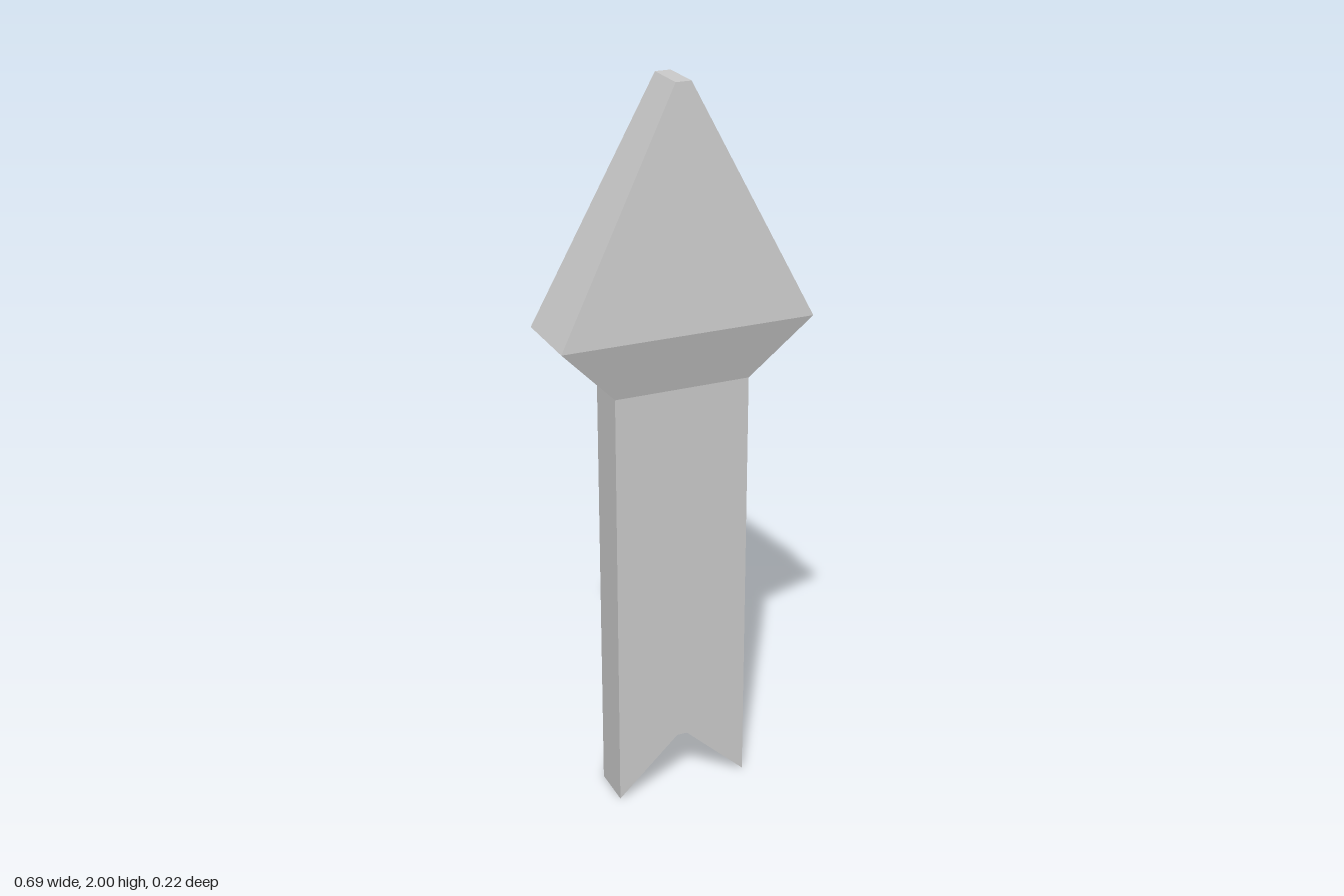
import * as THREE from 'three';

const HALF_W = 0.188;   // shaft half width
const HALF_D = 0.061;   // shaft half depth
const SHAFT_TOP = 1.204;

// Closed, flat-faced loft through rectangles given as [y, halfWidth, halfDepth]
function loftRectangles(sections) {
  const positions = [];
  const rings = sections.map(([y, w, d]) => [[-w, y, d], [w, y, d], [w, y, -d], [-w, y, -d]]);
  const quad = (a, b, c, d) => positions.push(...a, ...b, ...c, ...a, ...c, ...d);

  for (let i = 0; i < rings.length - 1; i++) {
    for (let j = 0; j < 4; j++) {
      const k = (j + 1) % 4;
      quad(rings[i][j], rings[i][k], rings[i + 1][k], rings[i + 1][j]);
    }
  }
  quad(...rings[rings.length - 1]);
  quad(...[...rings[0]].reverse());

  const geometry = new THREE.BufferGeometry();
  geometry.setAttribute('position', new THREE.Float32BufferAttribute(positions, 3));
  geometry.computeVertexNormals();
  return geometry;
}

export function createModel() {
  const model = new THREE.Group();
  model.name = 'arrow';
  const material = new THREE.MeshStandardMaterial({ color: 0xcccccc, flatShading: true });

  // Flat shaft with a swallowtail notch at its foot
  const outline = new THREE.Shape([
    [-HALF_W, 0], [-0.015, 0.163], [0.015, 0.163], [HALF_W, 0],
    [HALF_W, SHAFT_TOP], [-HALF_W, SHAFT_TOP],
  ].map(([x, y]) => new THREE.Vector2(x, y)));
  const shaftGeometry = new THREE.ExtrudeGeometry(outline, { depth: 2 * HALF_D, bevelEnabled: false });
  shaftGeometry.translate(0, 0, -HALF_D);
  const shaft = new THREE.Mesh(shaftGeometry, material);
  shaft.name = 'shaft';

  // Head flares out from the shaft, then tapers to a narrow blunt tip
  const head = new THREE.Mesh(loftRectangles([
    [SHAFT_TOP, HALF_W, HALF_D],
    [1.368, 0.347, 0.108],
    [2, 0.021, 0.062],
  ]), material);
  head.name = 'arrowhead';

  model.add(shaft, head);
  return model;
}
